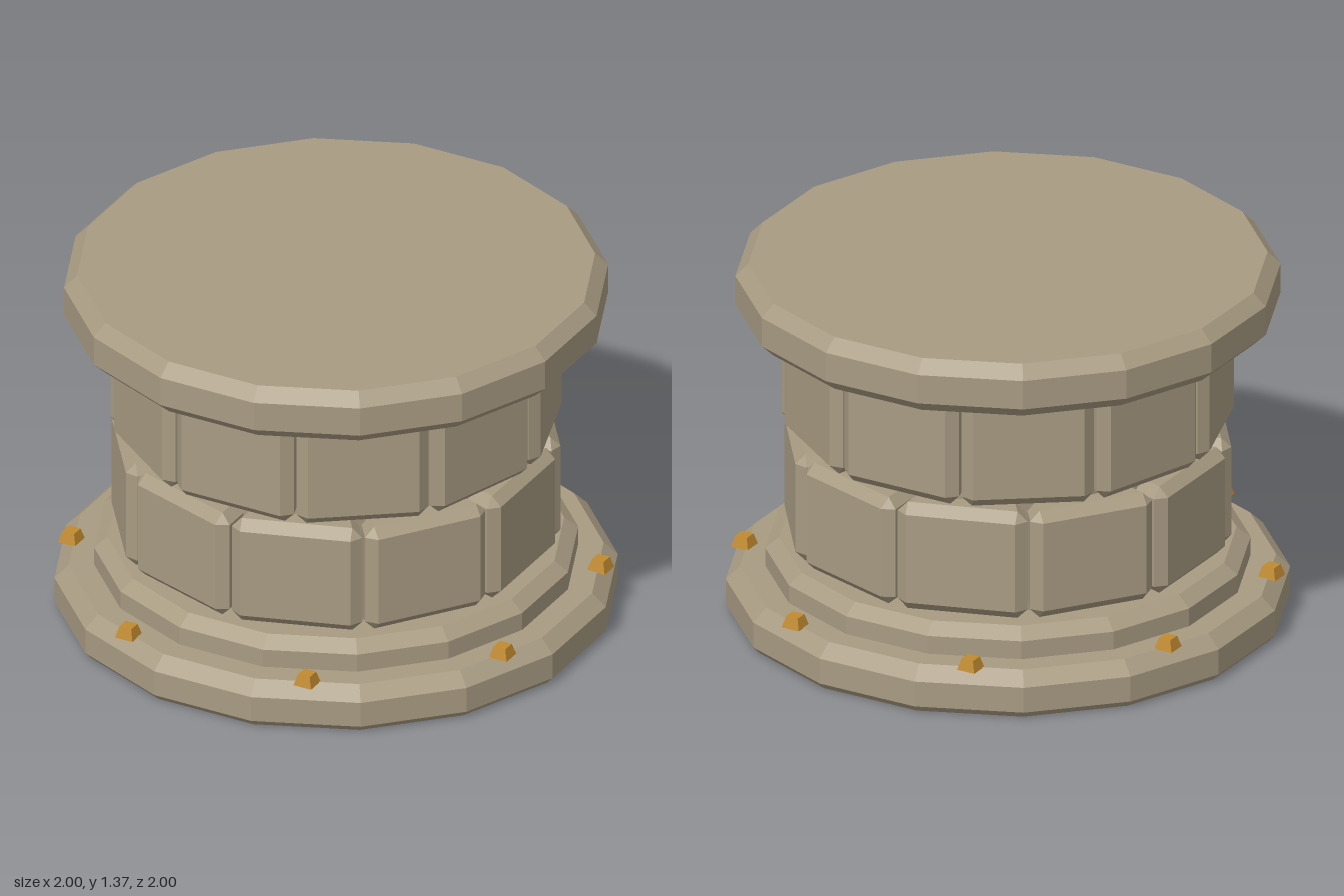
import * as THREE from 'three';
import { ConvexGeometry } from 'three/addons/geometries/ConvexGeometry.js';

const SIDES = 16;
const BLOCKS = 10;

export function createModel() {
  const model = new THREE.Group();
  model.name = 'stonePedestal';
  const stone = new THREE.MeshStandardMaterial({ color: 0xa89b82, flatShading: true });
  const gold = new THREE.MeshStandardMaterial({ color: 0xc08a30, flatShading: true });

  function add(parent, name, geometry, material) {
    const mesh = new THREE.Mesh(geometry, material);
    mesh.name = name;
    parent.add(mesh);
    return mesh;
  }

  // Sixteen-sided solid from [apothem, y] pairs, with flats facing the axes
  function disc(name, profile) {
    const k = 1 / Math.cos(Math.PI / SIDES);
    const ring = profile.map(([r, y]) => new THREE.Vector2(r * k, y));
    const first = ring[0], last = ring[ring.length - 1];
    const points = [new THREE.Vector2(0, first.y), ...ring, new THREE.Vector2(0, last.y)];
    add(model, name, new THREE.LatheGeometry(points, SIDES, Math.PI / SIDES), stone);
  }

  disc('basePlinth', [[0.975, 0], [1, 0.027], [1, 0.125], [0.95, 0.175]]);
  disc('baseStep', [[0.86, 0.17], [0.86, 0.245], [0.81, 0.285]]);
  disc('core', [[0.685, 0.27], [0.685, 1.18]]);
  disc('capSlab', [[0.92, 1.165], [0.966, 1.21], [0.966, 1.322], [0.92, 1.37]]);

  // Wedge-shaped block with every outer edge chamfered
  function blockGeometry() {
    const h = 0.21, c = 0.037, front = 0.79, back = 0.6;
    const halfWidth = z => z * Math.tan(Math.PI / BLOCKS) - 0.005;
    const points = [];
    for (const sx of [-1, 1]) for (const sy of [-1, 1]) {
      const side = halfWidth(front - c);
      points.push(
        new THREE.Vector3(sx * (side - c), sy * (h - c), front),
        new THREE.Vector3(sx * side, sy * (h - c), front - c),
        new THREE.Vector3(sx * (side - c), sy * h, front - c),
        new THREE.Vector3(sx * halfWidth(back), sy * (h - c), back),
        new THREE.Vector3(sx * (halfWidth(back) - c), sy * h, back)
      );
    }
    return new ConvexGeometry(points);
  }

  // Two staggered courses of blocks around the core
  const block = blockGeometry();
  [['lowerCourse', 0.505, 0.5], ['upperCourse', 0.944, 0]].forEach(([name, y, shift]) => {
    const course = new THREE.Group();
    course.name = name;
    course.position.y = y;
    for (let i = 0; i < BLOCKS; i++) {
      add(course, 'block', block, stone).rotation.y = (i + shift) * 2 * Math.PI / BLOCKS;
    }
    model.add(course);
  });

  // Small square studs on the rim of the plinth
  const stud = new THREE.CylinderGeometry(0.024 * Math.SQRT2, 0.036 * Math.SQRT2, 0.043, 4);
  stud.rotateY(Math.PI / 4);
  const studs = new THREE.Group();
  studs.name = 'studs';
  for (let i = 0; i < 8; i++) {
    const a = (i + 0.5) * Math.PI / 4;
    add(studs, 'stud', stud, gold).position.set(0.96 * Math.sin(a), 0.194, 0.96 * Math.cos(a));
  }
  model.add(studs);

  return model;
}
